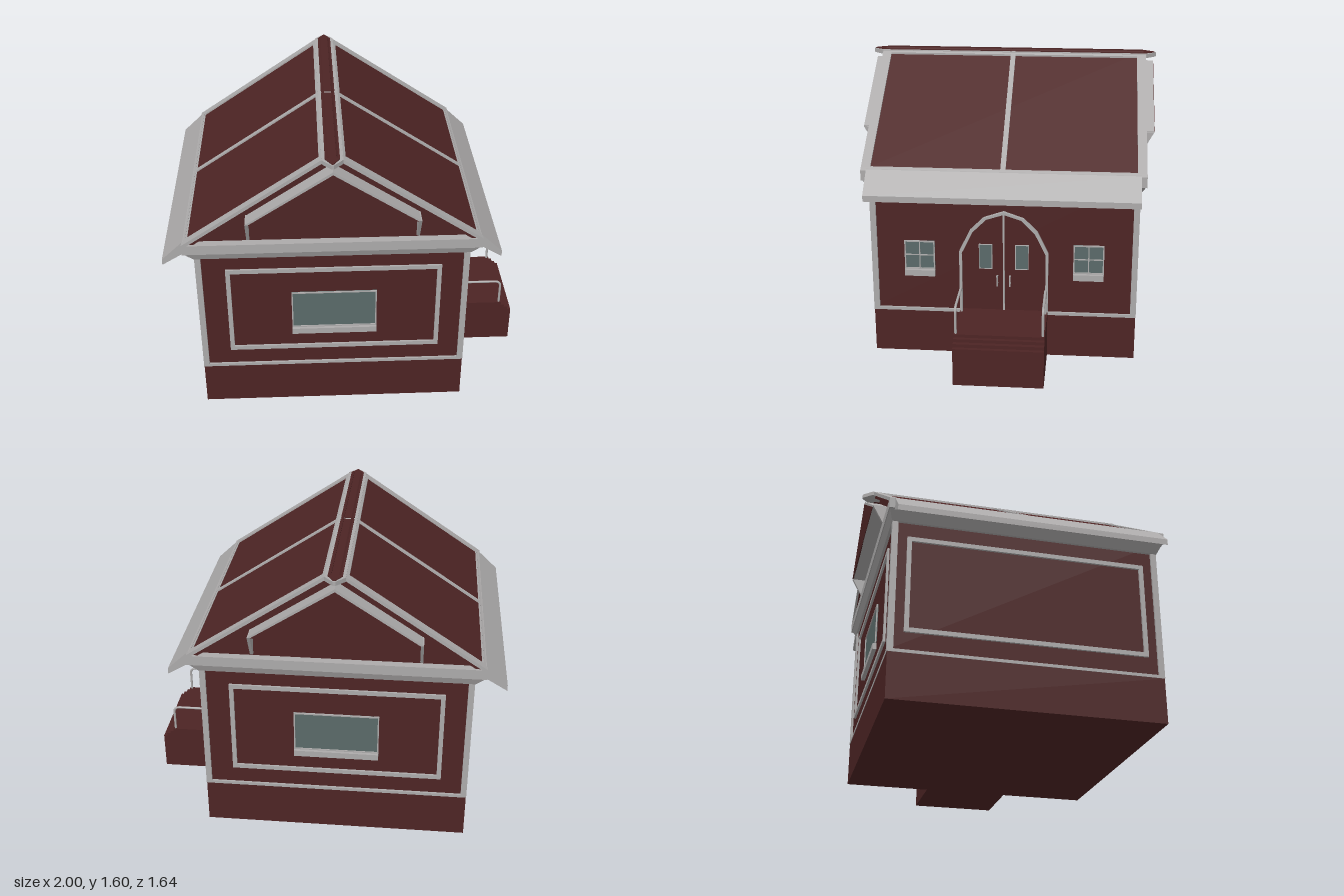
import * as THREE from 'three';

export function createModel() {
  const model = new THREE.Group();
  const house = new THREE.Group();
  house.name = 'house';
  house.position.x = -0.1; // the porch makes the plan lopsided
  model.add(house);

  const mat = (name, color) => {
    const m = new THREE.MeshStandardMaterial({ color });
    m.name = name;
    return m;
  };
  const maroon = mat('maroon', 0x4d2424);
  const gray = mat('trim gray', 0xacaaaa);
  const glass = mat('window glass', 0x5a6a69);

  const add = (parent, name, geometry, material) => {
    const m = new THREE.Mesh(geometry, material);
    m.name = name;
    parent.add(m);
    return m;
  };
  // box from min and max corners
  const box = (parent, name, material, x0, x1, y0, y1, z0, z1) =>
    add(parent, name, new THREE.BoxGeometry(x1 - x0, y1 - y0, z1 - z0)
      .translate((x0 + x1) / 2, (y0 + y1) / 2, (z0 + z1) / 2), material);
  const shapeOf = (pts) => new THREE.Shape(pts.map(([x, y]) => new THREE.Vector2(x, y)));
  // outline in x and y, pushed from z0 to z1, with an optional hole
  const prism = (pts, z0, z1, hole) => {
    const shape = shapeOf(pts);
    if (hole) shape.holes.push(shapeOf(hole));
    return new THREE.ExtrudeGeometry(shape, { depth: z1 - z0, bevelEnabled: false }).translate(0, 0, z0);
  };
  const rect = (x0, x1, y0, y1) => [[x0, y0], [x1, y0], [x1, y1], [x0, y1]];
  const frame = (parent, name, x0, x1, y0, y1, w, z0, z1) =>
    add(parent, name, prism(rect(x0, x1, y0, y1), z0, z1, rect(x0 + w, x1 - w, y0 + w, y1 - w)), gray);

  // base, walls, corner posts
  box(house, 'base', maroon, -0.73, 0.73, 0, 0.25, -0.73, 0.73);
  box(house, 'baseBand', gray, -0.732, 0.732, 0.25, 0.267, -0.732, 0.732);
  box(house, 'walls', maroon, -0.72, 0.72, 0.267, 1.05, -0.72, 0.72);
  for (const sx of [-1, 1]) for (const sz of [-1, 1])
    box(house, 'cornerPost', gray, sx * 0.716 - 0.016, sx * 0.716 + 0.016, 0.26, 1.0,
      sz * 0.716 - 0.016, sz * 0.716 + 0.016);

  // cornice: flared moulding under a flat board
  const flare = new THREE.BoxGeometry(1.56, 0.045, 1.51).translate(0, 1.0125, 0);
  const p = flare.attributes.position;
  for (let i = 0; i < p.count; i++)
    if (p.getY(i) < 1) p.setXYZ(i, Math.sign(p.getX(i)) * 0.735, p.getY(i), Math.sign(p.getZ(i)) * 0.735);
  flare.computeVertexNormals();
  add(house, 'corniceMoulding', flare, gray);
  box(house, 'corniceBoard', gray, -0.79, 0.79, 1.035, 1.09, -0.76, 0.76);

  // gable walls and attic
  const roofY = (u) => 1.585 - (u - 0.055) * 0.669;
  add(house, 'gableWalls', prism([[-0.76, 1.08], [0.76, 1.08], [0.055, 1.56], [-0.055, 1.56]], -0.715, 0.715), maroon);

  // roof slopes with raised trim
  for (const s of [-1, 1]) {
    const slope = new THREE.Group();
    slope.name = s > 0 ? 'leftRoofSlope' : 'rightRoofSlope';
    house.add(slope);
    const strip = (name, material, u0, u1, z0, z1, top, bottom) =>
      add(slope, name, prism([[s * u0, roofY(u0) + top], [s * u1, roofY(u1) + top],
        [s * u1, roofY(u1) + bottom], [s * u0, roofY(u0) + bottom]], z0, z1), material);
    strip('roofSlab', maroon, 0.02, 0.775, -0.748, 0.748, -0.01, -0.045);
    strip('ridgeTrim', gray, 0.05, 0.068, -0.71, 0.71, 0, -0.02);
    strip('lowerTrim', gray, 0.77, 0.79, -0.76, 0.76, 0, -0.02);
    strip('middleTrim', gray, 0.06, 0.775, -0.014, 0.014, 0, -0.02);
    for (const z of [-0.735, 0.735]) strip('gableTrim', gray, 0.05, 0.775, z - 0.025, z + 0.025, 0, -0.022);
    // flatter projecting eave
    add(slope, 'eave', prism([[s * 0.76, 1.108], [s * 0.785, 1.098], [s * 0.9, 0.99],
      [s * 0.9, 0.957], [s * 0.77, 1.035]], -0.73, 0.73), gray);
  }

  // ridge cap with pointed ends
  const cap = (w, z0, z1, y0, y1) => prism([[-w, z0], [w, z0], [w, z1], [0.7 * w, z1 + 0.02],
    [0.12, 0.4].length ? [0.12 * w, z1 + 0.055] : [0, z1], [-0.12 * w, z1 + 0.055], [-0.7 * w, z1 + 0.02], [-w, z1]], y0, y1)
    .rotateX(-Math.PI / 2);
  for (const turn of [0, Math.PI]) {
    add(house, 'ridgeCap', cap(0.055, 0, 0.765, 1.565, 1.588).rotateY(turn), gray);
    add(house, 'ridgePanel', cap(0.038, 0.012, 0.758, 1.586, 1.592).rotateY(turn), maroon);
  }

  // railing window: glass, slim frame and sill on a wall plane at z = 0.72
  const windowUnit = (wall, x, half, y0, y1, cross) => {
    const g = new THREE.Group();
    g.name = 'window';
    g.position.x = x;
    wall.add(g);
    box(g, 'glassPane', glass, -half, half, y0, y1, 0.718, 0.724);
    frame(g, 'windowFrame', -half, half, y0, y1, 0.007, 0.718, 0.73);
    box(g, 'sill', gray, -half, half, y0 - 0.038, y0 - 0.003, 0.718, 0.742);
    if (cross) {
      const c = (y0 + y1) / 2;
      box(g, 'mullion', gray, -0.003, 0.003, y0, y1, 0.72, 0.727);
      box(g, 'glazingBar', gray, -half, half, c - 0.003, c + 0.003, 0.72, 0.727);
    }
  };

  // each wall is built facing +z, then turned into place
  const makeWall = (name, turn) => {
    const g = new THREE.Group();
    g.name = name;
    g.rotation.y = turn;
    house.add(g);
    return g;
  };
  for (const [name, turn] of [['frontWall', 0], ['backWall', Math.PI]]) {
    const wall = makeWall(name, turn);
    frame(wall, 'wallFrame', -0.575, 0.585, 0.365, 0.908, 0.024, 0.715, 0.732);
    windowUnit(wall, 0.005, 0.232, 0.513, 0.748, false);

    // pediment on brackets in the gable
    box(wall, 'pedimentBase', gray, -0.45, 0.455, 1.24, 1.245, 0.7, 0.805);
    add(wall, 'pediment', prism([[-0.452, 1.24], [0.457, 1.24], [0.002, 1.54]], 0.7, 0.805), gray);
    add(wall, 'pedimentPanel', prism([[-0.434, 1.24], [0.438, 1.24], [0.002, 1.523]], 0.8, 0.808), maroon);
    for (const x of [-0.452, 0.441])
      add(wall, 'pedimentBracket', prism([[0.71, 1.1], [0.728, 1.1], [0.805, 1.24], [0.71, 1.24]], 0, 0.016)
        .rotateY(-Math.PI / 2).translate(x + 0.016, 0, 0), gray);
  }
  frame(makeWall('rightWall', -Math.PI / 2), 'wallFrame', -0.65, 0.65, 0.365, 0.908, 0.024, 0.715, 0.732);

  // entrance wall: arched double door between two windows
  const entry = makeWall('entranceWall', Math.PI / 2);
  for (const s of [-1, 1]) windowUnit(entry, s * 0.465, 0.084, 0.505, 0.672, true);
  const arch = (k, top) => {
    const half = [[0.245, 0.62], [0.185, 0.745], [0.11, 0.82]].map(([x, y]) => [x - k, y - k * 0.6]);
    return [[0.245 - k, 0.267], ...half, [0, top],
      ...half.reverse().map(([x, y]) => [-x, y]), [k - 0.245, 0.267]];
  };
  add(entry, 'doorLeaves', prism(arch(0.01, 0.845), 0.71, 0.724), maroon);
  add(entry, 'doorArch', prism([...arch(0, 0.858), ...arch(0.015, 0.842).reverse()], 0.71, 0.74), gray);
  box(entry, 'doorSeam', gray, -0.005, 0.005, 0.267, 0.845, 0.71, 0.73);
  for (const s of [-1, 1]) {
    box(entry, 'doorGlass', glass, s * 0.1 - 0.035, s * 0.1 + 0.035, 0.52, 0.662, 0.72, 0.727);
    frame(entry, 'doorGlassFrame', s * 0.1 - 0.037, s * 0.1 + 0.037, 0.518, 0.664, 0.004, 0.72, 0.73);
    box(entry, 'doorHandle', gray, s * 0.035 - 0.004, s * 0.035 + 0.004, 0.425, 0.49, 0.75, 0.758);
    for (const y of [0.435, 0.478])
      box(entry, 'handleStem', gray, s * 0.035 - 0.004, s * 0.035 + 0.004, y - 0.003, y + 0.003, 0.72, 0.752);
  }

  // porch with shallow steps
  add(house, 'porch', prism([[0.72, 0], [1.1, 0], [1.1, 0.215], [1.08, 0.215], [1.08, 0.234], [1.058, 0.234],
    [1.058, 0.252], [1.038, 0.252], [1.038, 0.27], [0.72, 0.27]], -0.243, 0.243), maroon);

  // handrails
  for (const z of [-0.233, 0.233]) {
    const v = (x, y) => new THREE.Vector3(x, y, z);
    const path = new THREE.CurvePath();
    path.add(new THREE.LineCurve3(v(0.76, 0.265), v(0.76, 0.385)));
    path.add(new THREE.QuadraticBezierCurve3(v(0.76, 0.385), v(0.76, 0.42), v(0.795, 0.42)));
    path.add(new THREE.LineCurve3(v(0.795, 0.42), v(0.99, 0.42)));
    path.add(new THREE.QuadraticBezierCurve3(v(0.99, 0.42), v(1.025, 0.42), v(1.025, 0.385)));
    path.add(new THREE.LineCurve3(v(1.025, 0.385), v(1.025, 0.265)));
    add(house, 'handrail', new THREE.TubeGeometry(path, 48, 0.007, 8), gray);
  }
  return model;
}
